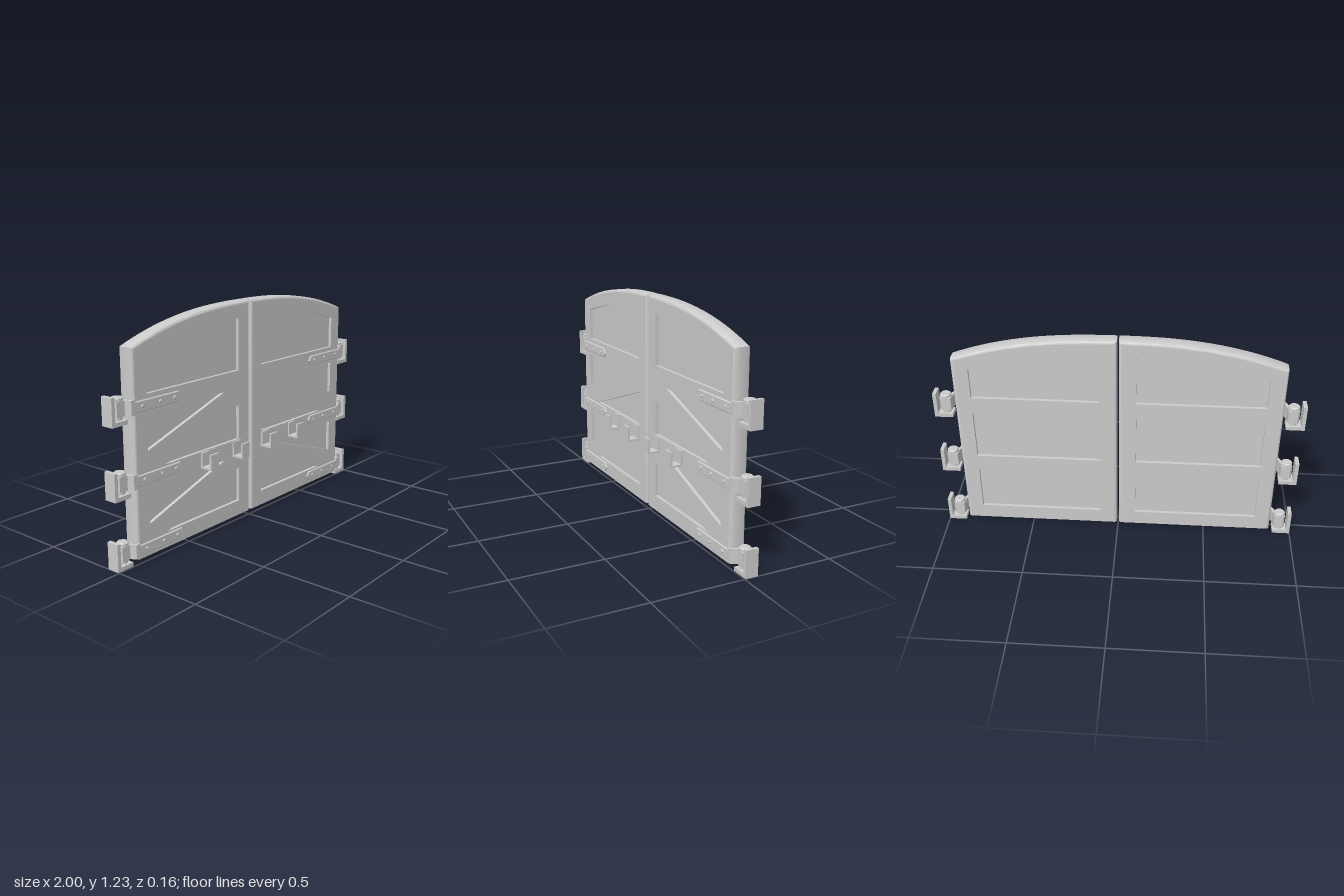
import * as THREE from 'three';
import { toCreasedNormals } from 'three/addons/utils/BufferGeometryUtils.js';

const FRONT = 0.01, BACK = -0.077, ROUND = 0.016;
const FLOOR_FRONT = -0.008, FLOOR_BACK = -0.059;
const X0 = 0.005, X1 = 0.88, Y0 = 0.03;
const mat = new THREE.MeshStandardMaterial({ color: 0xcccccc, side: THREE.DoubleSide });

const topEdge = (x) => 1.23 - 0.135 * Math.pow(Math.max(x, 0) / X1, 2.5);
const toShape = (pts) => new THREE.Shape(pts.map(([x, y]) => new THREE.Vector2(x, y)));

function add(parent, name, geometry, x = 0, y = 0, z = 0) {
  const mesh = new THREE.Mesh(geometry, mat);
  mesh.name = name;
  mesh.position.set(x, y, z);
  parent.add(mesh);
  return mesh;
}

// box given by its limits on each axis
function box(parent, name, x0, x1, y0, y1, z0, z1) {
  return add(parent, name, new THREE.BoxGeometry(x1 - x0, y1 - y0, z1 - z0),
    (x0 + x1) / 2, (y0 + y1) / 2, (z0 + z1) / 2);
}

// leaf outline, drawn in by d on the sides and the arched top
function outline(d) {
  const pts = [[X0 + d, Y0], [X1 - d, Y0]];
  for (let i = 0; i <= 20; i++) {
    const x = THREE.MathUtils.lerp(X1 - d, X0 + d, i / 20);
    pts.push([x, topEdge(x) - d]);
  }
  return pts;
}

function slab(pts, holes, z0, z1) {
  const shape = toShape(pts);
  shape.holes = holes.map(toShape);
  return new THREE.ExtrudeGeometry(shape, { depth: z1 - z0, bevelEnabled: false }).translate(0, 0, z0);
}

// rounded band round the edge of the leaf
function rimGeometry() {
  const sections = [];
  for (let i = 0; i <= 5; i++) {
    const a = (i / 5) * Math.PI / 2;
    sections.push([ROUND * (1 - Math.sin(a)), FRONT - ROUND * (1 - Math.cos(a))]);
  }
  for (let i = 5; i >= 0; i--) sections.push([sections[i][0], FRONT + BACK - sections[i][1]]);
  const pos = [], index = [];
  const n = outline(0).length;
  sections.forEach(([d, z], k) => {
    for (const [x, y] of outline(d)) pos.push(x, y, z);
    if (k === 0) return;
    for (let i = 0; i < n; i++) {
      const j = (i + 1) % n, a = (k - 1) * n, b = k * n;
      index.push(a + i, b + i, a + j, a + j, b + i, b + j);
    }
  });
  const g = new THREE.BufferGeometry();
  g.setAttribute('position', new THREE.Float32BufferAttribute(pos, 3));
  g.setIndex(index);
  return toCreasedNormals(g, 0.7);
}

function buildLeaf() {
  const leaf = new THREE.Group();
  const archPanel = [[0.1, 0.86], [0.79, 0.86]];
  for (let i = 0; i <= 12; i++) {
    const t = 1 - i / 12;
    archPanel.push([0.1 + 0.69 * t, 1.14 - 0.1 * t * t]);
  }
  const rect = (y0, y1) => [[0.1, y0], [0.79, y0], [0.79, y1], [0.1, y1]];
  // pair of triangles either side of a diagonal brace
  const braced = (y0, y1) => [
    [[0.1, y0], [0.67, y0], [0.1, y0 + 0.193]],
    [[0.22, y1], [0.79, y1 - 0.185], [0.79, y1]],
  ];
  const inner = outline(ROUND);
  add(leaf, 'edgeBand', rimGeometry());
  add(leaf, 'recessedPanels', slab(inner, [], FLOOR_BACK, FLOOR_FRONT));
  add(leaf, 'frontFrame', slab(inner, [archPanel, ...braced(0.475, 0.76), ...braced(0.115, 0.38)], FLOOR_FRONT, FRONT));
  add(leaf, 'backFrame', slab(inner, [archPanel, rect(0.475, 0.76), rect(0.115, 0.38)], BACK, FLOOR_BACK));
  return leaf;
}

// strap, knuckle, pin and wall bracket, with y = 0 at the bracket foot
function buildHinge() {
  const hinge = new THREE.Group();
  const strap = toShape([[0.55, 0.078], [0.572, 0.05], [0.89, 0.05], [0.89, 0.106], [0.572, 0.106]]);
  add(hinge, 'strap', new THREE.ExtrudeGeometry(strap, {
    depth: 0.004, bevelThickness: 0.004, bevelSize: 0.004, bevelOffset: -0.004, bevelSegments: 1,
  }), 0, 0, FRONT);
  for (const x of [0.605, 0.705, 0.825]) {
    const rivet = add(hinge, 'rivet', new THREE.SphereGeometry(0.011, 12, 5, 0, Math.PI * 2, 0, Math.PI / 2), x, 0.078, 0.017);
    rivet.rotation.x = Math.PI / 2;
    rivet.scale.y = 0.6;
  }
  // plan shape of the strap end, stepping back to the pin
  const plan = toShape([[0.87, -0.018], [0.897, -0.018], [0.912, 0.012], [0.962, 0.012],
    [0.966, 0.06], [0.955, 0.071], [0.905, 0.071], [0.9, 0.03], [0.885, -0.008], [0.87, -0.008]]);
  const knuckle = new THREE.ExtrudeGeometry(plan, { depth: 0.076, bevelEnabled: false });
  add(hinge, 'knuckle', knuckle.rotateX(-Math.PI / 2).scale(1, 1, -1).rotateZ(Math.PI)
    .rotateY(Math.PI).translate(0, 0.117, 0));
  const pin = [[0, 0.024], [0.024, 0.024], [0.024, 0.117], [0.031, 0.119], [0.031, 0.13], [0.025, 0.136], [0, 0.136]];
  add(hinge, 'pin', toCreasedNormals(new THREE.LatheGeometry(pin.map(([r, y]) => new THREE.Vector2(r, y)), 20), 0.6),
    0.935, 0, -0.041);
  box(hinge, 'bracketFoot', 0.9, 1, 0, 0.022, -0.075, -0.005);
  box(hinge, 'bracketPlate', 0.98, 1, 0.022, 0.145, -0.075, -0.005);
  return hinge;
}

// open hooks that hold the locking bar
function buildBarHolder() {
  const holder = new THREE.Group();
  box(holder, 'backingPlate', 0.095, 0.41, 0.385, 0.47, FRONT - 0.004, 0.013);
  for (const x of [0.095, 0.35]) {
    const hook = toShape([[0.01, 0.385], [0.083, 0.385], [0.083, 0.47], [0.071, 0.47],
      [0.071, 0.396], [0.021, 0.396], [0.021, 0.47], [0.01, 0.47]]);
    const g = new THREE.ExtrudeGeometry(hook, { depth: 0.062, bevelEnabled: false });
    add(holder, 'barHook', g.rotateY(-Math.PI / 2).translate(x + 0.062, 0, 0));
  }
  return holder;
}

// copy across x = 0, with the corner order turned round
function mirrored(source) {
  source.updateMatrixWorld(true);
  const out = new THREE.Group();
  source.traverse((o) => {
    if (!o.isMesh) return;
    const g = o.geometry.index ? o.geometry.toNonIndexed() : o.geometry.clone();
    g.applyMatrix4(o.matrixWorld);
    for (const key of ['position', 'normal']) {
      const a = g.attributes[key], p = new THREE.Vector3(), q = new THREE.Vector3();
      for (let i = 0; i < a.count; i++) a.setX(i, -a.getX(i));
      for (let i = 0; i < a.count; i += 3) {
        p.fromBufferAttribute(a, i + 1);
        q.fromBufferAttribute(a, i + 2);
        a.setXYZ(i + 1, q.x, q.y, q.z);
        a.setXYZ(i + 2, p.x, p.y, p.z);
      }
    }
    add(out, o.name, g);
  });
  return out;
}

export function createModel() {
  const left = new THREE.Group();
  left.name = 'leftDoor';
  const leaf = buildLeaf();
  leaf.name = 'leaf';
  left.add(leaf);
  for (const y of [0, 0.36, 0.73]) {
    const hinge = buildHinge();
    hinge.name = 'hinge';
    hinge.position.y = y;
    left.add(hinge);
  }
  const holder = buildBarHolder();
  holder.name = 'barHolder';
  left.add(holder);

  const right = mirrored(left);
  right.name = 'rightDoor';
  const model = new THREE.Group();
  model.name = 'doubleGate';
  model.add(left, right);
  return model;
}
